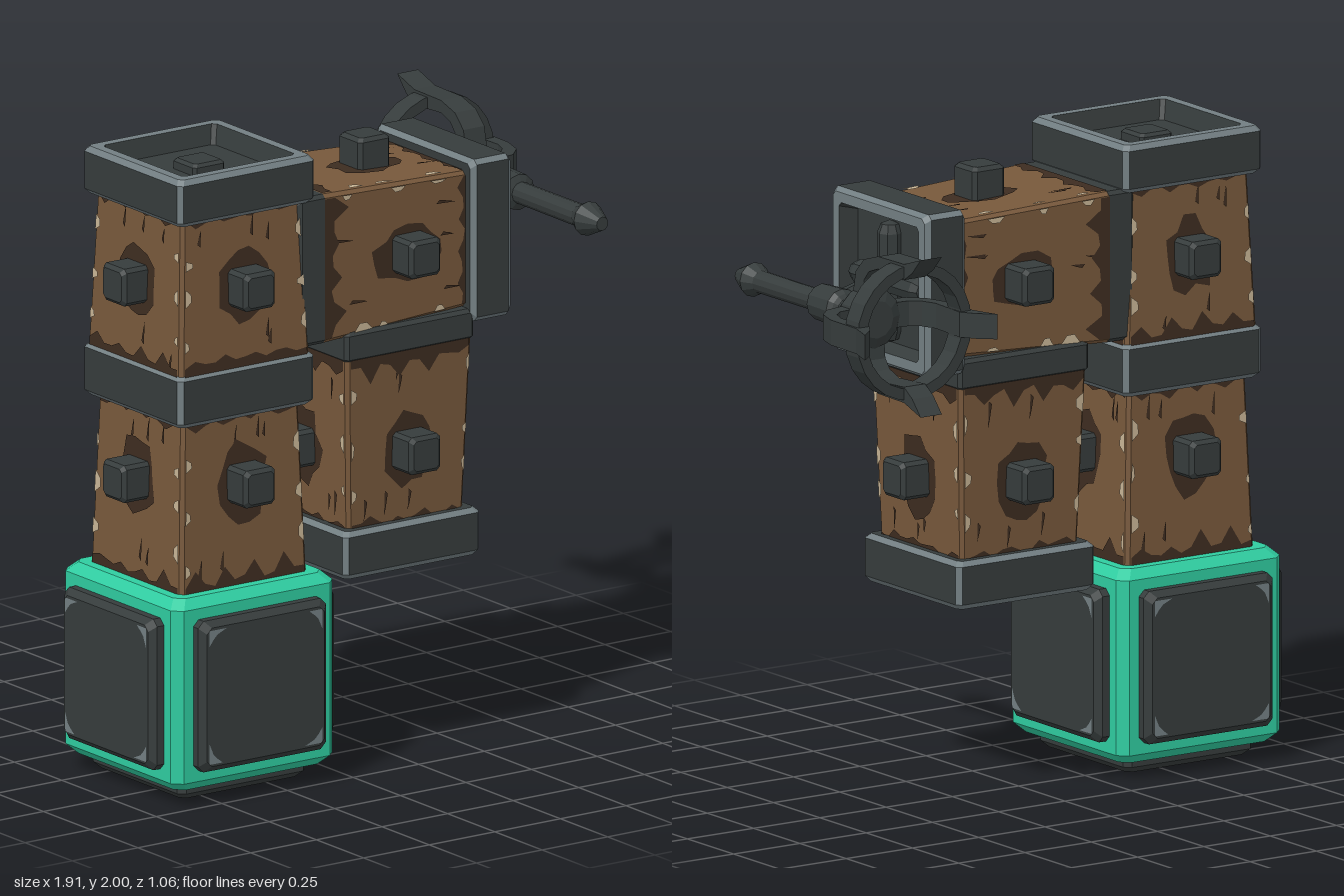
import * as THREE from 'three';
import { mergeGeometries } from 'three/addons/utils/BufferGeometryUtils.js';

const mat = (name, color) => Object.assign(new THREE.MeshStandardMaterial({ color }), { name });
const WOOD = mat('wood', 0x77583b), DARKWOOD = mat('dark wood', 0x3d2c20), CHIP = mat('chipped wood', 0xc6b394);
const METAL = mat('dark metal', 0x363c3c), EDGE = mat('worn metal edge', 0x727e82), GREEN = mat('green frame', 0x2fcca0);
const Q = Math.PI / 2;

let seed = 7;
const rnd = (a, b) => {
  seed = (seed * 16807) % 2147483647;
  return a + (b - a) * seed / 2147483647;
};

function add(parent, name, geo, material) {
  const m = new THREE.Mesh(geo, material);
  m.name = name;
  parent.add(m);
  return m;
}

function flat(geo) {
  const g = geo.index ? geo.toNonIndexed() : geo;
  g.computeVertexNormals();
  return g;
}

// Stacked square rings with cut corners. Rows: [half width, y, material index of the band below]
function loft(rows, k) {
  const hMax = Math.max(...rows.map(r => r[0]));
  const rings = rows.map(([h, y]) => {
    const e = h - k * h / hMax, ring = [];
    let a = [-e, h], b = [e, h];
    for (let s = 0; s < 4; s++) {
      ring.push([a[0], y, a[1]], [b[0], y, b[1]]);
      a = [a[1], -a[0]];
      b = [b[1], -b[0]];
    }
    return ring;
  });
  const tris = [[], []];
  for (let i = 1; i < rows.length; i++) for (let j = 0; j < 8; j++) {
    const n = (j + 1) % 8, lo = rings[i - 1], hi = rings[i], m = rows[i][2] ?? j % 2;
    if (rows[i - 1][0] > 0) tris[m].push(...lo[j], ...lo[n], ...hi[n]);
    if (rows[i][0] > 0) tris[m].push(...lo[j], ...hi[n], ...hi[j]);
    else if (rows[i - 1][0] === 0) continue;
  }
  const g = new THREE.BufferGeometry();
  g.setAttribute('position', new THREE.Float32BufferAttribute(tris.flat(), 3));
  g.addGroup(0, tris[0].length / 3, 0);
  g.addGroup(tris[0].length / 3, tris[1].length / 3, 1);
  g.computeVertexNormals();
  return g;
}

// Chamfered block rising from y = 0
const block = (h, len, c) =>
  loft([[0, 0], [h - c, 0, 0], [h, c, 1], [h, len - c], [h - c, len, 1], [0, len, 0]], c);

function place(obj, pos, rot = [0, 0, 0]) {
  obj.position.set(...pos);
  obj.rotation.set(...rot);
  return obj;
}

// Tapered timber with bolts and painted wear on its four sides
function timber(parent, name, pos, rotZ, len, h0, h1, boltAt, bolted) {
  const g = new THREE.Group();
  g.name = name;
  parent.add(place(g, pos, [0, 0, rotZ]));
  add(g, name + 'Body', loft([[0, 0], [h0, 0, 0], [h1, len], [0, len, 0]], 0.012), [WOOD, WOOD]);
  const dark = [], chips = [];
  const paint = (list, side, pts, off) => {
    const geo = new THREE.ShapeGeometry(new THREE.Shape(pts.map(p => new THREE.Vector2(...p))));
    const p = geo.attributes.position;
    for (let i = 0; i < p.count; i++) {
      const v = p.getY(i), h = h0 + (h1 - h0) * v;
      p.setXYZ(i, p.getX(i) * h, v * len, h + off);
    }
    geo.computeVertexNormals();
    list.push(geo.rotateY(side * Q));
  };
  for (let side = 0; side < 4; side++) {
    // stain around the bolt
    if (bolted.includes(side)) {
      const stain = [];
      for (let i = 0; i < 14; i++) {
        const a = i / 14 * Math.PI * 2, r = rnd(0.8, 1.15);
        stain.push([0.4 * r * Math.cos(a), boltAt + 0.23 * r * Math.sin(a)]);
      }
      paint(dark, side, stain, 0.003);
      const bolt = add(g, 'bolt', block(0.06, 0.15, 0.012), [METAL, METAL]);
      bolt.geometry.translate(0, 0.18, 0).rotateX(Q).rotateY(side * Q);
      bolt.position.y = boltAt * len;
    }
    // ragged stain at both ends
    for (const [v0, dir, big] of [[0.05, 1, 0.13], [0.98, -1, 0.07]]) {
      const teeth = [[-0.94, v0 - dir * 0.04]];
      for (let i = 0; i <= 12; i++)
        teeth.push([-0.94 + i * 1.88 / 12, v0 + dir * (i % 3 === 1 ? rnd(0.04, big) : rnd(0.005, 0.04))]);
      teeth.push([0.94, v0 - dir * 0.04]);
      paint(dark, side, teeth, 0.003);
    }
    // grain streaks
    for (let i = 0; i < 5; i++) {
      const u = rnd(-0.8, 0.8), v = i % 2 ? rnd(0.08, 0.2) : rnd(0.78, 0.85), l = rnd(0.07, 0.13);
      paint(dark, side, [[u - 0.03, v], [u + 0.02, v - 0.02], [u + 0.03, v + l], [u, v + l * 0.6]], 0.004);
    }
    // pale chips along the edges
    for (const s of [-1, 1]) for (let i = 0; i < 3; i++) {
      const v = 0.1 + i * 0.27 + rnd(0, 0.12), w = rnd(0.05, 0.13), l = rnd(0.06, 0.13);
      paint(chips, side, [[s * 0.95, v], [s * (0.95 - w), v + l * 0.3], [s * (0.96 - w), v + l * 0.7], [s * 0.95, v + l]], 0.005);
    }
  }
  add(g, name + 'Stains', mergeGeometries(dark), DARKWOOD);
  add(g, name + 'Chips', mergeGeometries(chips), CHIP);
}

// End cap with a sunken face and a small square stud
function endCap(parent, name, pos, rotZ, stud) {
  const g = new THREE.Group();
  g.name = name;
  parent.add(place(g, pos, [0, 0, rotZ]));
  add(g, name + 'Frame', loft([[0, 0], [0.245, 0, 0], [0.26, 0.015, 1], [0.26, 0.135], [0.247, 0.152, 1],
    [0.215, 0.152, 1], [0.2, 0.09, 0], [0, 0.09, 0]], 0.015), [METAL, EDGE]);
  if (stud) add(g, 'stud', block(0.06, 0.05, 0.01), [METAL, METAL]).position.y = 0.075;
  return g;
}

export function createModel() {
  const root = new THREE.Group();
  root.name = 'lampPost';
  const Z = 0.17, PX = -0.6, HX = 0.03, BY = 1.62;

  // Footing cube with a panel on the four sides and underneath
  const base = new THREE.Group();
  base.name = 'footing';
  root.add(place(base, [PX, 0.355, Z]));
  add(base, 'footingFrame', block(0.308, 0.616, 0.03), [GREEN, GREEN]).position.y = -0.308;
  for (const rot of [[Q, 0, 0], [-Q, 0, 0], [0, 0, Q], [0, 0, -Q], [Math.PI, 0, 0]]) {
    const panel = new THREE.Group();
    panel.name = 'footingPanel';
    base.add(place(panel, [0, 0, 0], rot));
    add(panel, 'panelPlate', block(0.243, 0.075, 0.02), [METAL, METAL]).position.y = 0.279;
    const scuffs = [];
    for (let i = 0; i < 4; i++) {
      const s = new THREE.Shape([[0.215, 0.215], [0.165, 0.215], [0.185, 0.2], [0.2, 0.185], [0.215, 0.15]]
        .map(p => new THREE.Vector2(...p)));
      scuffs.push(new THREE.ShapeGeometry(s).rotateX(-Q).rotateY(i * Q).translate(0, 0.356, 0));
    }
    add(panel, 'panelScuffs', mergeGeometries(scuffs), EDGE);
  }

  // Timbers
  timber(root, 'lowerPost', [PX, 0.64, Z], 0, 0.58, 0.242, 0.222, 0.6, [0, 1, 2, 3]);
  timber(root, 'upperPost', [PX, 1.35, Z], 0, 0.52, 0.248, 0.226, 0.52, [0, 2, 3]);
  timber(root, 'beam', [-0.3, BY, Z], -Q, 0.57, 0.24, 0.217, 0.58, [0, 2, 3]);
  timber(root, 'hangingPost', [HX, 1.32, Z], Math.PI, 0.58, 0.24, 0.22, 0.57, [0, 1, 2, 3]);

  // Collars, sleeves and end caps
  add(root, 'postCollar', block(0.26, 0.17, 0.016), [METAL, EDGE]).position.set(PX, 1.2, Z);
  place(add(root, 'beamSleeve', block(0.24, 0.11, 0.012), [METAL, METAL]), [-0.39, BY, Z], [0, 0, -Q]);
  place(add(root, 'hangingSleeve', block(0.246, 0.1, 0.012), [METAL, METAL]), [HX, 1.3, Z]);
  endCap(root, 'postCap', [PX, 1.848, Z], 0, true);
  endCap(root, 'hangingCap', [HX, 0.762, Z], Math.PI, true);
  const bracket = endCap(root, 'beamCap', [0.257, BY, Z], -Q, false);
  for (const rot of [[Q, 0, 0], [0, 0, Q]])
    place(add(bracket, 'bracketBar', flat(new THREE.CapsuleGeometry(0.04, 0.31, 2, 8)), METAL), [0, 0.11, 0], rot);

  // Strut from the beam to the torch
  const a = new THREE.Vector3(0.35, BY, 0.2), b = new THREE.Vector3(0.7, BY, 0);
  const strut = add(root, 'strut', flat(new THREE.CylinderGeometry(0.036, 0.036, a.distanceTo(b), 10)), METAL);
  strut.position.copy(a).lerp(b, 0.5);
  strut.quaternion.setFromUnitVectors(new THREE.Vector3(0, 1, 0), b.clone().sub(a).normalize());

  // Torch lying along z, its basket to the rear
  const torch = new THREE.Group();
  torch.name = 'torch';
  root.add(place(torch, [0.7, BY, 0], [-Q, 0, 0]));
  const lathe = (pts, n) => flat(new THREE.LatheGeometry(pts.map(p => new THREE.Vector2(...p)), n));
  add(torch, 'torchShaft', lathe([[0, -0.5], [0.022, -0.5], [0.055, -0.425], [0.036, -0.385], [0.035, -0.07],
    [0.058, -0.06], [0.062, 0.05], [0.05, 0.065], [0.036, 0.075], [0.036, 0.1], [0.06, 0.115], [0.095, 0.165],
    [0.095, 0.225], [0.06, 0.24], [0, 0.24]], 12), METAL);
  add(torch, 'basketRing', lathe([[0.18, 0.37], [0.216, 0.37], [0.216, 0.44], [0.18, 0.44], [0.18, 0.37]], 24), METAL);
  const outline = new THREE.Shape([[0.08, 0.165], [0.15, 0.18], [0.195, 0.225], [0.218, 0.3], [0.22, 0.44],
    [0.25, 0.53], [0.2, 0.485], [0.17, 0.44], [0.178, 0.3], [0.16, 0.25], [0.13, 0.225], [0.08, 0.22]]
    .map(p => new THREE.Vector2(...p)));
  for (let i = 0; i < 4; i++) {
    const prong = new THREE.ExtrudeGeometry(outline, { depth: 0.08, bevelEnabled: false });
    add(torch, 'basketProng', prong.translate(0, 0, -0.04).rotateY(i * Q), METAL);
  }
  return root;
}
